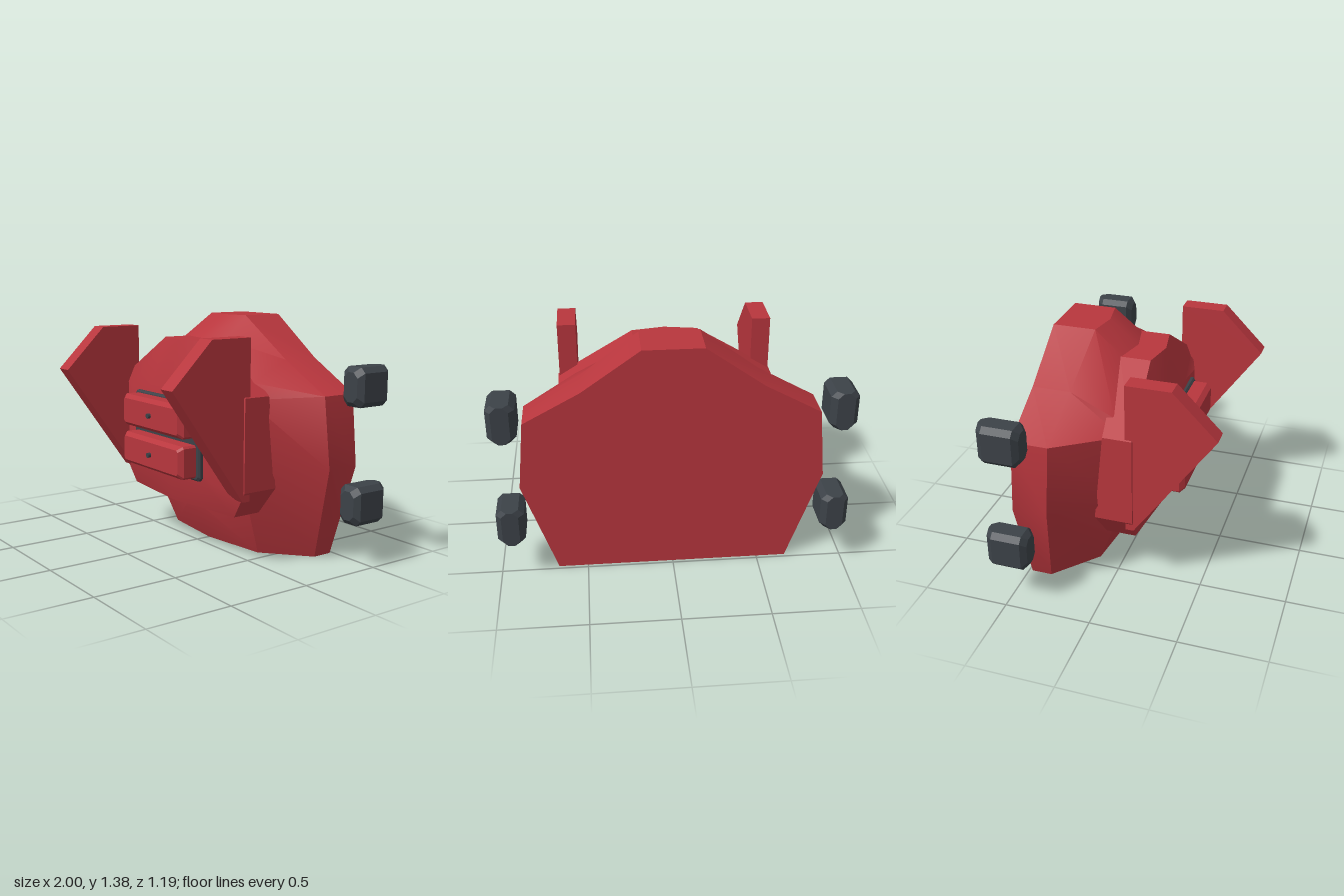
import * as THREE from 'three';
import { toCreasedNormals } from 'three/addons/utils/BufferGeometryUtils.js';

// Closed loft through rings ordered back to front; each ring runs clockwise seen from the front.
function loft(rings, backCentre, frontCentre, crease = 0.5) {
  const n = rings[0].length;
  const last = (rings.length - 1) * n;
  const pos = [...rings.flat(), backCentre, frontCentre].flat();
  const back = rings.length * n, front = back + 1;
  const index = [];
  for (let i = 0; i < n; i++) {
    const j = (i + 1) % n;
    index.push(back, i, j, front, last + j, last + i);
    for (let r = 0; r < last; r += n) {
      index.push(r + i, r + n + i, r + j, r + j, r + n + i, r + n + j);
    }
  }
  const g = new THREE.BufferGeometry();
  g.setAttribute('position', new THREE.Float32BufferAttribute(pos, 3));
  g.setIndex(index);
  return toCreasedNormals(g, crease);
}

// Completes a half outline (top centre to bottom centre on +x) by mirroring it.
const mirror = half => [
  ...half,
  ...half.slice(1, -1).reverse().map(([x, y, z]) => [-x, y, z]),
];

// Block made of rectangular sections with cut corners: [half width, half height, z]
function chamferedBlock(sections, c) {
  const rings = sections.map(([w, h, z]) => [
    [-w + c, h, z], [w - c, h, z], [w, h - c, z], [w, -h + c, z],
    [w - c, -h, z], [-w + c, -h, z], [-w, -h + c, z], [-w, h - c, z],
  ]);
  return loft(rings, [0, 0, sections[0][2]], [0, 0, sections.at(-1)[2]], 0.3);
}

export function createModel() {
  const model = new THREE.Group();
  const red = new THREE.MeshStandardMaterial({ color: 0xb8363d });
  red.name = 'red';
  const darkGrey = new THREE.MeshStandardMaterial({ color: 0x3c4248 });
  darkGrey.name = 'dark grey';

  const add = (name, geometry, material, x = 0, y = 0, z = 0) => {
    const mesh = new THREE.Mesh(geometry, material);
    mesh.name = name;
    mesh.position.set(x, y, z);
    model.add(mesh);
    return mesh;
  };

  // Main shell: flat back, short side band, then a slope to the front
  const outline = [[0, 1.375], [0.17, 1.375], [0.5, 1.14], [0.82, 0.965], [0.86, 0.56], [0.67, 0], [0, 0]];
  const bandZ = [-0.2, -0.23, -0.26, -0.27, -0.28, -0.36, -0.3];
  add('shell', loft([
    mirror(outline.map(([x, y]) => [x, y, -0.48])),
    mirror(outline.map(([x, y], i) => [x, y, bandZ[i]])),
    mirror([
      [0, 1.24, -0.03], [0.18, 1.24, -0.07], [0.52, 1.03, 0], [0.55, 0.94, 0.05],
      [0.5, 0.5, 0.05], [0.42, 0, -0.14], [0, 0, -0.09],
    ]),
  ], [0, 0.65, -0.48], [0, 0.28, 0.05]), red);

  // Raised front plate with a bulging face
  add('frontPlate', loft([
    mirror([
      [0, 1.24, -0.05], [0.19, 1.24, -0.08], [0.63, 0.965, -0.035],
      [0.63, 0.44, -0.09], [0.52, 0.28, -0.06], [0, 0.28, -0.06],
    ]),
    mirror([
      [0, 1.24, 0.135], [0.19, 1.24, 0.1], [0.63, 0.965, 0.13],
      [0.63, 0.44, 0.13], [0.52, 0.28, 0.115], [0, 0.28, 0.175],
    ]),
    mirror([
      [0, 0.96, 0.205], [0.19, 0.96, 0.205], [0.42, 0.92, 0.2],
      [0.42, 0.47, 0.2], [0.38, 0.44, 0.2], [0, 0.45, 0.215],
    ]),
  ], [0, 0.7, -0.06], [0, 0.7, 0.215]), red);

  // Upright fins, drawn as (z, y) profiles and turned to face sideways
  const finShape = new THREE.Shape(
    [[0.09, 0.39], [0.135, 0.39], [0.595, 1.04], [0.345, 1.29], [0.09, 1.29]]
      .map(([z, y]) => new THREE.Vector2(-z, y)));
  const finGeometry = new THREE.ExtrudeGeometry(finShape, { depth: 0.107, bevelEnabled: false });
  finGeometry.translate(0, 0, -0.0535);
  finGeometry.rotateY(Math.PI / 2);
  add('leftFin', finGeometry, red, 0.569);
  add('rightFin', finGeometry, red, -0.569);

  // Drawer frame, two drawers and their knobs
  add('drawerFrame', chamferedBlock([[0.343, 0.227, 0.17], [0.343, 0.227, 0.22], [0.333, 0.217, 0.23]], 0.02),
    darkGrey, 0, 0.687);
  const drawerGeometry = chamferedBlock([[0.312, 0.095, 0.22], [0.312, 0.095, 0.312], [0.288, 0.073, 0.34]], 0.012);
  const knobGeometry = new THREE.CylinderGeometry(0.015, 0.015, 0.03, 12).rotateX(Math.PI / 2);
  for (const [name, y] of [['upper', 0.805], ['lower', 0.573]]) {
    add(name + 'Drawer', drawerGeometry, red, 0, y);
    add(name + 'Knob', knobGeometry, darkGrey, 0, y, 0.342);
  }

  // Four corner pads beside the back
  const padGeometry = chamferedBlock(
    [[0.048, 0.11, -0.595], [0.078, 0.11, -0.56], [0.078, 0.11, -0.39], [0.05, 0.082, -0.36]], 0.03);
  for (const [side, x] of [['left', 0.92], ['right', -0.92]]) {
    add(side + 'UpperPad', padGeometry, darkGrey, x, 1.02);
    add(side + 'LowerPad', padGeometry, darkGrey, x, 0.36);
  }

  return model;
}
